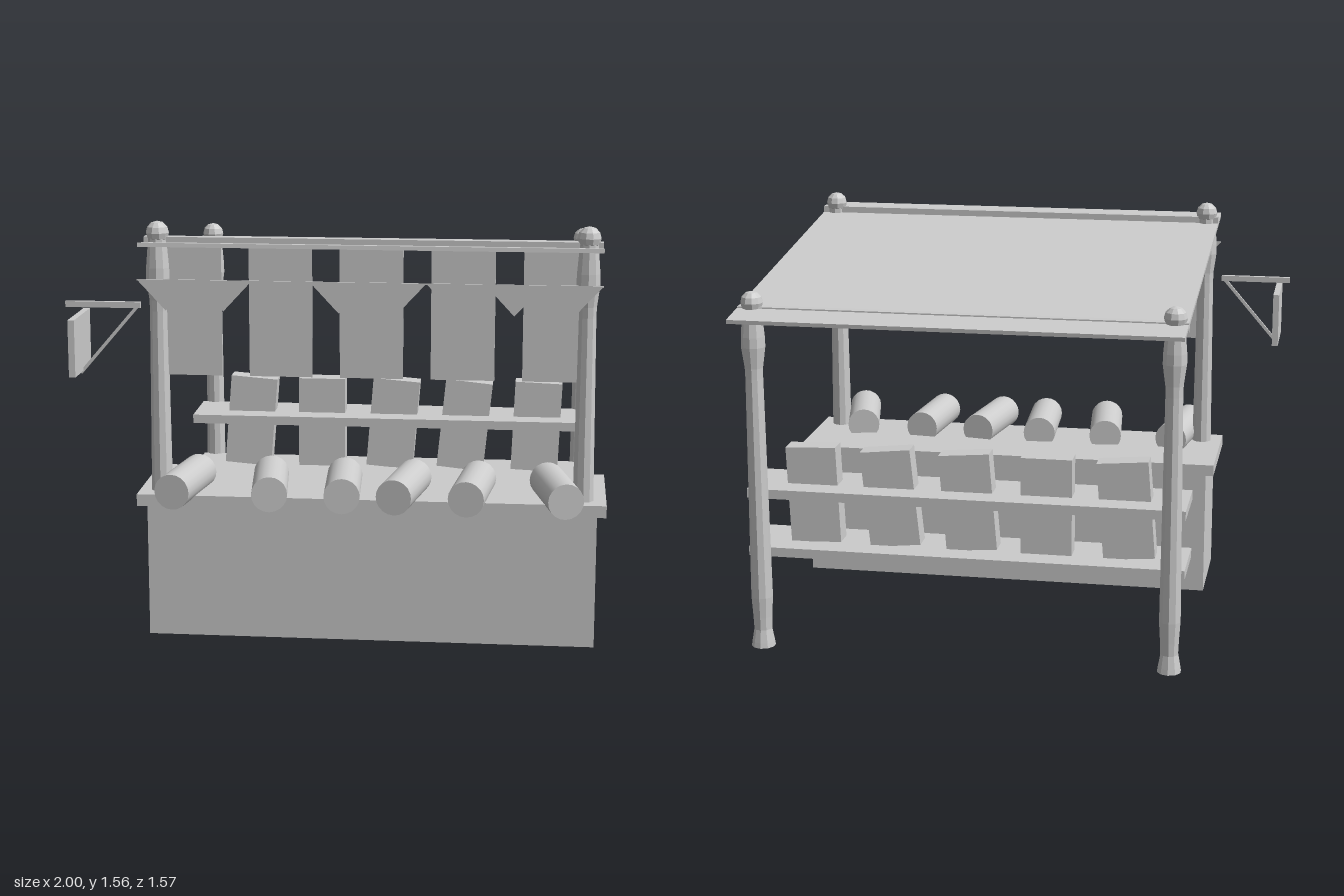
import * as THREE from 'three';

const MID = 0.132, WIDTH = 1.665, LEFT = MID - WIDTH / 2;
const grey = new THREE.MeshStandardMaterial({ color: 0xcccccc });
grey.name = 'plain grey';
const greyFaceted = new THREE.MeshStandardMaterial({ color: 0xcccccc, flatShading: true });
greyFaceted.name = 'plain grey faceted';
const greyCloth = new THREE.MeshStandardMaterial({ color: 0xcccccc, side: THREE.DoubleSide });
greyCloth.name = 'plain grey cloth';

export function createModel() {
  const model = new THREE.Group();
  model.name = 'marketStall';

  function add(name, geometry, x, y, z, material = grey) {
    const mesh = new THREE.Mesh(geometry, material);
    mesh.name = name;
    mesh.position.set(x, y, z);
    model.add(mesh);
    return mesh;
  }
  const box = (name, w, h, d, x, y, z) => add(name, new THREE.BoxGeometry(w, h, d), x, y, z);

  // Counter with an overhanging top
  box('counterBase', WIDTH, 0.505, 0.4, MID, 0.2525, 0.45);
  box('counterTop', 1.732, 0.045, 0.46, MID, 0.5275, 0.45);

  // Turned posts with ball finials; the front pair rises out of the counter
  function post(name, x, z, base, top) {
    const low = base > 0
      ? [[0, base], [0.04, base]]
      : [[0, 0], [0.046, 0], [0.043, 0.02], [0.034, 0.07], [0.036, 0.12], [0.041, 0.2]];
    const high = [[0.033, -0.33], [0.034, -0.29], [0.045, -0.21], [0.044, -0.17],
      [0.037, -0.09], [0.036, -0.06], [0, -0.06]].map(([r, y]) => [r, top + y]);
    const profile = [...low, ...high].map(([r, y]) => new THREE.Vector2(r, y));
    add(name, new THREE.LatheGeometry(profile, 10), x, 0, z, greyFaceted);
    add(name + 'Finial', new THREE.SphereGeometry(0.043, 10, 6), x, top - 0.043, z, greyFaceted);
  }
  for (const [side, x] of [['right', -0.652], ['left', 0.913]]) {
    post(side + 'FrontPost', x, 0.597, 0.5, 1.56);
    post(side + 'BackPost', x, -0.636, 0, 1.39);
  }

  // Sloping roof and the beams carrying it
  const roof = box('roof', WIDTH, 0.015, 1.527, MID, 1.397, -0.028);
  roof.rotation.x = -0.122;
  box('frontBeam', WIDTH, 0.036, 0.035, MID, 1.485, 0.593);
  box('backBeam', WIDTH, 0.036, 0.035, MID, 1.315, -0.636);

  // Back shelves and the slightly leaning boxes standing through them
  for (const y of [0.372, 0.602]) box('shelf', WIDTH, 0.036, 0.268, MID, y, -0.482);
  [-0.08, 0, -0.08, -0.1, -0.04].forEach((lean, i) => {
    const goods = box('shelfBox', 0.195, 0.375, 0.08, MID + (i - 2) * 0.3, 0.578, -0.481);
    goods.rotation.z = lean;
  });

  // Rolls on the counter: x of the front end and sideways shift of the back end
  const rolls = [[-0.585, 0.05], [-0.225, -0.035], [0.04, -0.02], [0.228, 0.055], [0.49, 0.035], [0.85, -0.07]];
  for (const [x, shift] of rolls) {
    const geometry = new THREE.CylinderGeometry(0.066, 0.066, 0.327, 20).rotateX(Math.PI / 2);
    add('roll', geometry, x + shift / 2, 0.587, 0.614).rotation.y = -Math.asin(shift / 0.327);
  }

  // Cloths hanging below the front beam
  for (let i = 0; i < 5; i++) {
    box('hangingCloth', 0.232, 0.49, 0.008, LEFT + (i + 0.5) * WIDTH / 5, 1.235, 0.597);
  }

  // Bunting
  const step = WIDTH / 8;
  const flag = new THREE.Shape([
    new THREE.Vector2(-step / 2, 0), new THREE.Vector2(0, -0.112), new THREE.Vector2(step / 2, 0)]);
  for (let i = 0; i < 8; i++) {
    add('pennant', new THREE.ShapeGeometry(flag), LEFT + (i + 0.5) * step, 1.368, 0.754, greyCloth);
  }
  box('buntingCord', WIDTH, 0.005, 0.006, MID, 1.367, 0.754);

  // Side sign on a braced arm
  box('signArm', 0.28, 0.022, 0.018, -0.86, 1.248, 0.597);
  box('signBoard', 0.024, 0.212, 0.262, -0.952, 1.104, 0.6);
  const brace = box('signBrace', 0.335, 0.012, 0.012, -0.84, 1.117, 0.597);
  brace.rotation.z = Math.atan2(0.25, 0.215);

  return model;
}
